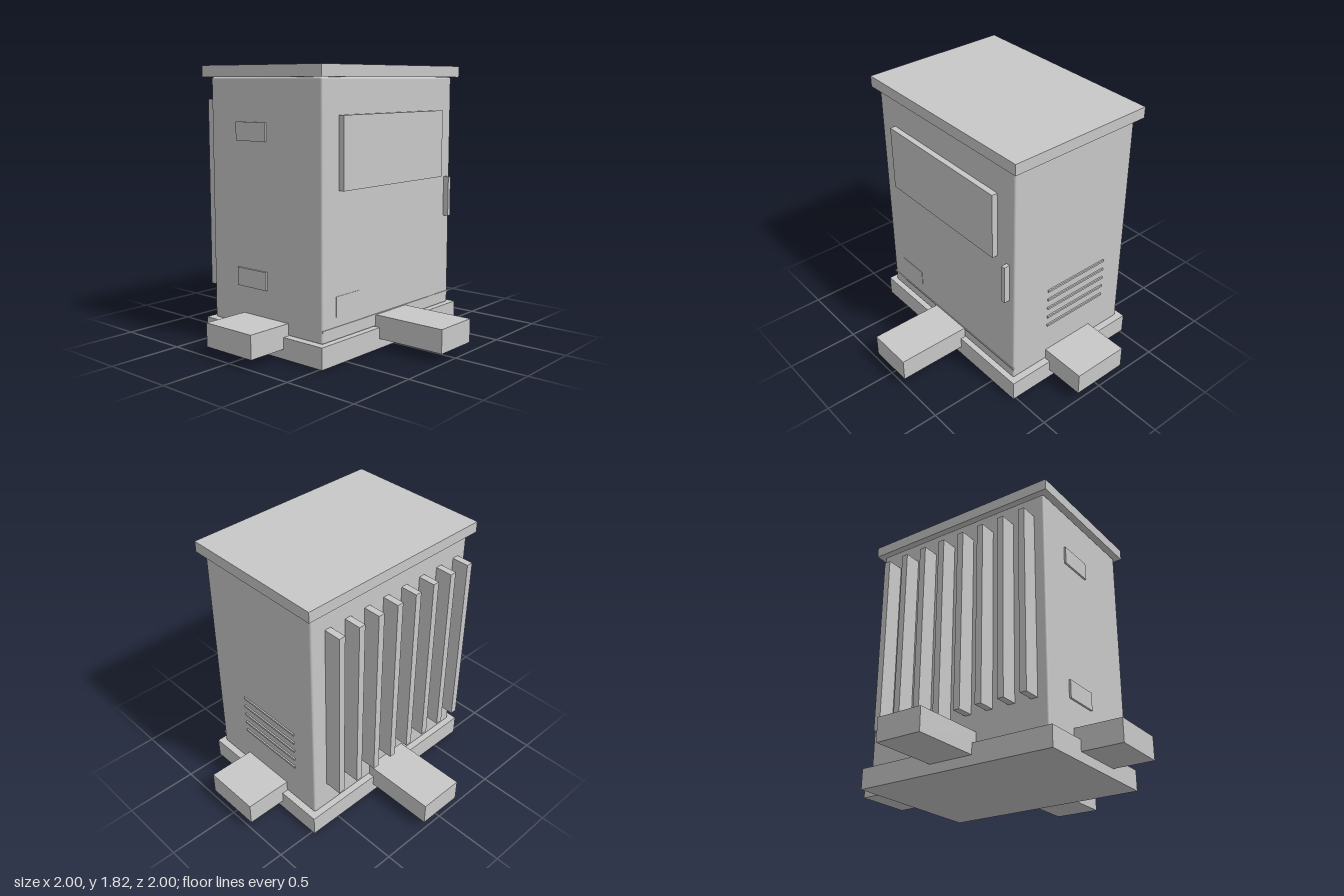
import * as THREE from 'three';
import { RoundedBoxGeometry } from 'three/addons/geometries/RoundedBoxGeometry.js';

export function createModel() {
  const model = new THREE.Group();
  model.name = 'equipmentCabinet';
  const grey = new THREE.MeshStandardMaterial({ color: 0xc8c8c8 });
  grey.name = 'light grey';

  // Box given by its limits on each axis
  const block = (name, [x0, x1], [y0, y1], [z0, z1], radius = 0) => {
    const size = [x1 - x0, y1 - y0, z1 - z0];
    const geometry = radius
      ? new RoundedBoxGeometry(...size, 3, radius)
      : new THREE.BoxGeometry(...size);
    const mesh = new THREE.Mesh(geometry, grey);
    mesh.name = name;
    mesh.position.set((x0 + x1) / 2, (y0 + y1) / 2, (z0 + z1) / 2);
    model.add(mesh);
    return mesh;
  };

  // Plinth, softly rounded housing and overhanging roof
  block('plinth', [-0.72, 0.72], [0, 0.14], [-0.52, 0.52]);
  block('housing', [-0.677, 0.677], [0.14, 1.745], [-0.48, 0.485], 0.013);
  block('roof', [-0.72, 0.72], [1.745, 1.82], [-0.52, 0.52]);

  // Outrigger feet on all four sides
  for (const side of [-1, 1]) {
    const span = (a, b) => [Math.min(side * a, side * b), Math.max(side * a, side * b)];
    block('sideFoot', span(0.6, 1), [0.065, 0.22], [-0.2, 0.2]);
    block('endFoot', [-0.16, 0.16], [0.065, 0.22], span(0.4, 1));
  }

  // Front details
  block('displayPanel', [-0.525, 0.52], [1.065, 1.52], [0.48, 0.525]);
  block('doorHandle', [0.605, 0.632], [0.78, 1.055], [0.48, 0.525]);
  block('ratingPlate', [-0.55, -0.325], [0.285, 0.415], [0.48, 0.488]);
  block('doorSill', [-0.68, 0.68], [0.215, 0.225], [0.48, 0.49]);

  // Vent louvres on the left side
  for (let i = 0; i < 5; i++) {
    const y = 0.44 + i * 0.0725;
    block('ventLouvre', [0.67, 0.687], [y - 0.007, y + 0.007], [-0.3, 0.2]);
  }

  // Hinge plates on the right side
  for (const y of [0.46, 1.405]) {
    block('hingePlate', [-0.69, -0.67], [y - 0.06, y + 0.06], [-0.24, 0.02]);
  }

  // Cooling fins on the back
  for (let i = 0; i < 8; i++) {
    const x = -0.58 + i * 0.1605;
    block('coolingFin', [x - 0.023, x + 0.023], [0.34, 1.6], [-0.6, -0.47]);
  }
  return model;
}
